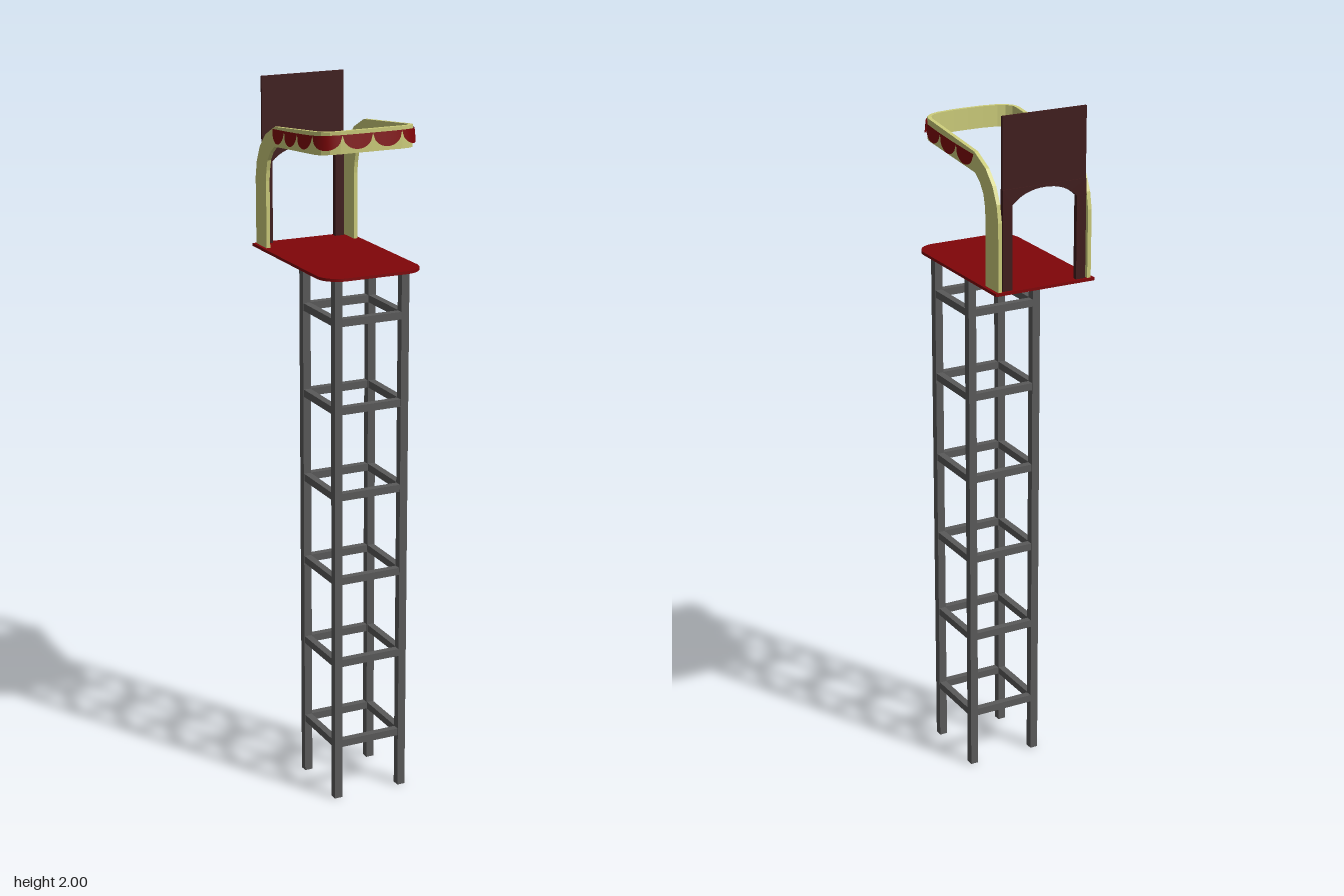
import * as THREE from 'three';

const mat = (color, extra = {}) => new THREE.MeshStandardMaterial({ color, ...extra });
const steel = mat(0x5a5a5a);
const red = mat(0x800508);
const brown = mat(0x401c1c);
const cream = mat(0xcccc7a, { flatShading: true });
const valanceRed = mat(0x800508, { side: THREE.DoubleSide });

function add(parent, name, geometry, material, x = 0, y = 0, z = 0) {
  const mesh = new THREE.Mesh(geometry, material);
  mesh.name = name;
  mesh.position.set(x, y, z);
  parent.add(mesh);
  return mesh;
}

function indexed(positions, indices) {
  const g = new THREE.BufferGeometry();
  g.setAttribute('position', new THREE.Float32BufferAttribute(positions, 3));
  g.setIndex(indices);
  g.computeVertexNormals();
  return g;
}

// Four posts tied by square rings of rungs
function buildTower() {
  const tower = new THREE.Group();
  tower.name = 'tower';
  tower.position.z = -0.002;
  const post = new THREE.BoxGeometry(0.023, 1.524, 0.023);
  const rungX = new THREE.BoxGeometry(0.18, 0.021, 0.02);
  const rungZ = new THREE.BoxGeometry(0.02, 0.021, 0.18);
  for (const x of [-0.1, 0.1])
    for (const z of [0, 0.2]) add(tower, 'post', post, steel, x, 0.762, z);
  for (let i = 0; i < 6; i++) {
    const y = 0.167 + i * 0.2468;
    for (const z of [0, 0.2]) add(tower, 'crossRung', rungX, steel, 0, y, z);
    for (const x of [-0.1, 0.1]) add(tower, 'sideRung', rungZ, steel, x, y, 0.1);
  }
  return tower;
}

// Flat deck with rounded front corners
function platformGeometry() {
  const w = 0.15, f = 0.238, r = 0.06;
  const s = new THREE.Shape();
  s.moveTo(-w, -0.24);
  s.lineTo(w, -0.24);
  s.lineTo(w, f - r);
  s.absarc(w - r, f - r, r, 0, Math.PI / 2);
  s.absarc(-w + r, f - r, r, Math.PI / 2, Math.PI);
  s.closePath();
  return new THREE.ExtrudeGeometry(s, { depth: 0.008, bevelEnabled: false, curveSegments: 8 })
    .rotateX(Math.PI / 2).translate(0, 1.531, 0);
}

// Board with an arched opening between its two feet
function archFrameGeometry() {
  const s = new THREE.Shape();
  s.moveTo(-0.125, 1.531);
  s.lineTo(-0.097, 1.531);
  s.lineTo(-0.097, 1.762);
  s.quadraticCurveTo(-0.06, 1.799, 0, 1.799);
  s.quadraticCurveTo(0.06, 1.799, 0.097, 1.762);
  s.lineTo(0.097, 1.531);
  s.lineTo(0.125, 1.531);
  s.lineTo(0.125, 1.806);
  s.lineTo(-0.125, 1.806);
  s.closePath();
  return new THREE.ExtrudeGeometry(s, { depth: 0.014, bevelEnabled: false, curveSegments: 8 });
}

// Band lofted up one leg, forward, round the front and back down the other
function railGeometry() {
  // x, upper z, upper y, lower z, lower y, outward direction (nx, nz)
  const half = [
    [0.135, -0.235, 1.531, -0.165, 1.531, 1, 0],
    [0.135, -0.235, 1.72, -0.165, 1.72, 1, 0],
    [0.135, -0.226, 1.767, -0.162, 1.75, 1, 0],
    [0.135, -0.204, 1.812, -0.154, 1.78, 1, 0],
    [0.135, -0.167, 1.85, -0.136, 1.805, 1, 0],
    [0.135, -0.105, 1.881, -0.108, 1.826, 1, 0],
    [0.135, 0.157, 1.911, 0.157, 1.85, 1, 0.15],
    [0.13, 0.173, 1.913, 0.173, 1.852, 0.9, 0.5],
    [0.114, 0.188, 1.914, 0.188, 1.854, 0.6, 0.8],
    [0.09, 0.195, 1.915, 0.195, 1.855, 0.2, 0.98],
    [0.045, 0.198, 1.916, 0.198, 1.856, 0.05, 1],
    [0, 0.199, 1.916, 0.199, 1.856, 0, 1],
  ];
  const mirrored = half.slice(0, -1).reverse()
    .map(([x, az, ay, bz, by, nx, nz]) => [-x, az, ay, bz, by, -nx, nz]);
  const stations = [...half, ...mirrored];
  const t = 0.0055, pos = [], idx = [];
  stations.forEach(([x, az, ay, bz, by, nx, nz], i) => {
    pos.push(x + nx * t, ay, az + nz * t, x + nx * t, by, bz + nz * t,
      x - nx * t, by, bz - nz * t, x - nx * t, ay, az - nz * t);
    if (i === 0) return;
    const a = (i - 1) * 4, b = i * 4;
    for (let k = 0; k < 4; k++) {
      const n = (k + 1) % 4;
      idx.push(a + k, b + k, a + n, a + n, b + k, b + n);
    }
  });
  const e = (stations.length - 1) * 4;
  idx.push(0, 1, 2, 0, 2, 3, e, e + 2, e + 1, e, e + 3, e + 2);
  return indexed(pos, idx);
}

// Row of half-round flaps hanging just outside the rail, flaring slightly
function valanceGeometry() {
  const side = [[0.145, -0.108], [0.151, 0], [0.152, 0.1], [0.147, 0.16], [0.127, 0.191], [0.09, 0.205]];
  const plan = [...side, [0, 0.209], ...side.slice().reverse().map(([x, z]) => [-x, z])];
  const curve = new THREE.CatmullRomCurve3(plan.map(([x, z]) => new THREE.Vector3(x, 0, z)));
  const flaps = 10, cols = 14, pos = [], idx = [];
  for (let i = 0; i <= flaps * cols; i++) {
    const p = curve.getPointAt(i / (flaps * cols));
    const tan = curve.getTangentAt(i / (flaps * cols));
    const u = ((i % cols) / cols) * 2 - 1;
    const drop = 0.038 * Math.sqrt(1 - u * u) + 0.001;
    const top = 1.886 + 0.1 * p.z, flare = drop * 0.1;
    pos.push(p.x, top, p.z, p.x + tan.z * flare, top - drop, p.z - tan.x * flare);
    if (i > 0) {
      const a = (i - 1) * 2;
      idx.push(a, a + 2, a + 1, a + 1, a + 2, a + 3);
    }
  }
  return indexed(pos, idx);
}

export function createModel() {
  const model = new THREE.Group();
  model.name = 'watchTower';
  model.add(buildTower());
  add(model, 'platform', platformGeometry(), red);
  add(model, 'guardRail', railGeometry(), cream);
  add(model, 'scallopedValance', valanceGeometry(), valanceRed);
  add(model, 'archFrame', archFrameGeometry(), brown, 0, 0, -0.232);
  add(model, 'backPanel', new THREE.BoxGeometry(0.25, 0.196, 0.007), brown, 0, 1.902, -0.2255);
  return model;
}
